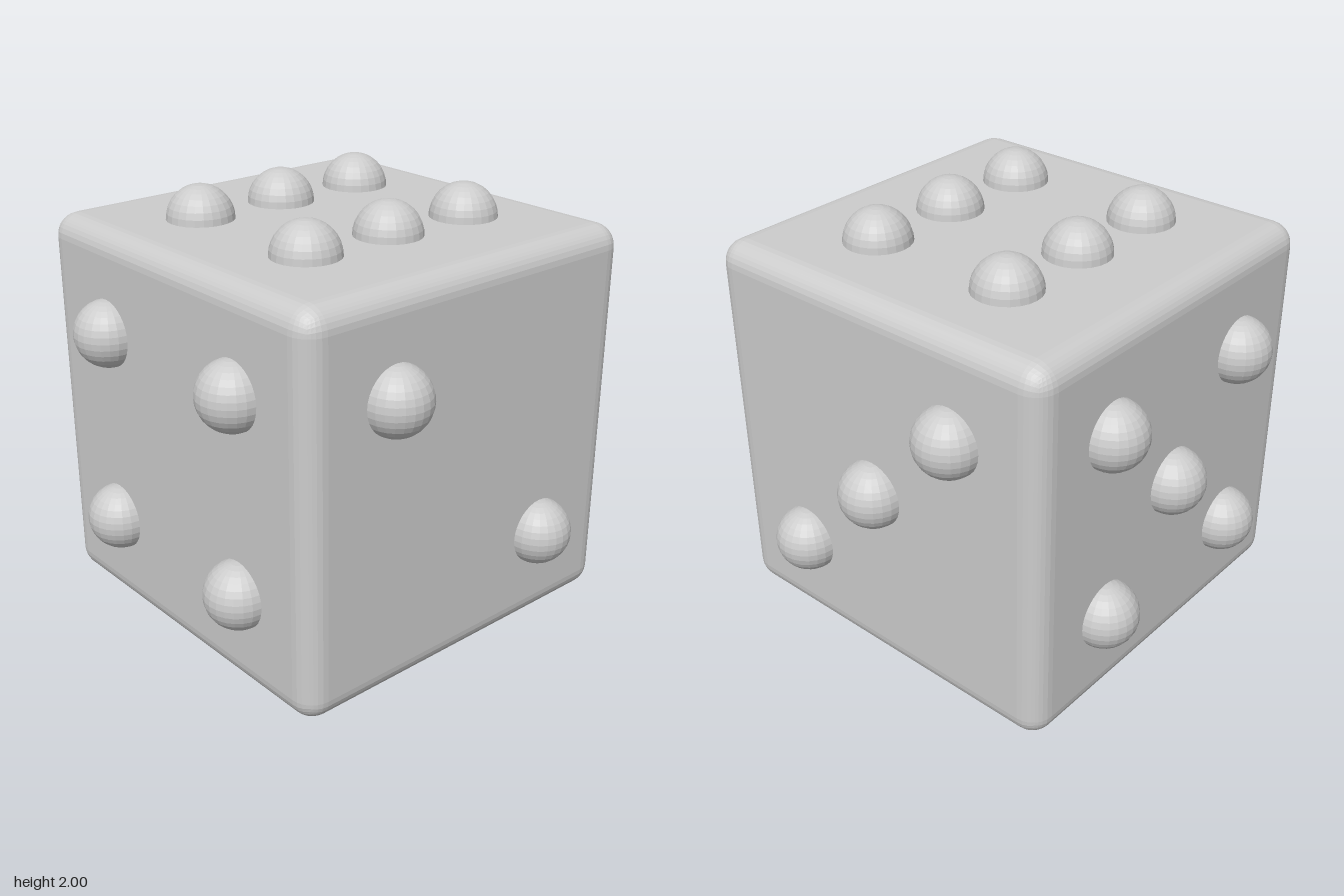
import * as THREE from 'three';
import { RoundedBoxGeometry } from 'three/addons/geometries/RoundedBoxGeometry.js';

const HALF = 0.855;   // half the cube's side
const PIP = 0.145;    // pip radius
const FAR = 0.427;    // corner pip offset
const NEAR = 0.342;   // row offset on the six face

// Gives every facet its own flat normal
function faceted(geometry) {
  const flat = geometry.index ? geometry.toNonIndexed() : geometry;
  flat.computeVertexNormals();
  return flat;
}

export function createModel() {
  const die = new THREE.Group();
  die.name = 'die';
  const grey = new THREE.MeshStandardMaterial({ color: 0xcccccc });
  grey.name = 'light grey';

  // Cube with rounded edges
  const cube = new THREE.Mesh(
    faceted(new RoundedBoxGeometry(2 * HALF, 2 * HALF, 2 * HALF, 4, 0.1)), grey);
  cube.name = 'cube';
  cube.position.y = 1;
  die.add(cube);

  // Raised pips, centred on the cube's faces
  const pipGeometry = faceted(new THREE.SphereGeometry(PIP, 24, 16));
  const square = [[-FAR, -FAR], [FAR, -FAR], [-FAR, FAR], [FAR, FAR]];
  const faces = {
    bottomOne: [[0, 0]].map(([x, z]) => [x, -HALF, z]),
    rightTwo: [[FAR, FAR], [-FAR, -FAR]].map(([y, z]) => [HALF, y, z]),
    backThree: [[-FAR, FAR], [0, 0], [FAR, -FAR]].map(([x, y]) => [x, y, -HALF]),
    frontFour: square.map(([x, y]) => [x, y, HALF]),
    leftFive: [...square, [0, 0]].map(([y, z]) => [-HALF, y, z]),
    topSix: [-FAR, 0, FAR].flatMap((z) => [[-NEAR, HALF, z], [NEAR, HALF, z]]),
  };
  for (const [name, spots] of Object.entries(faces)) {
    const face = new THREE.Group();
    face.name = name + 'Pips';
    face.position.y = 1;
    for (const spot of spots) {
      const pip = new THREE.Mesh(pipGeometry, grey);
      pip.name = 'pip';
      pip.position.set(...spot);
      face.add(pip);
    }
    die.add(face);
  }
  return die;
}
